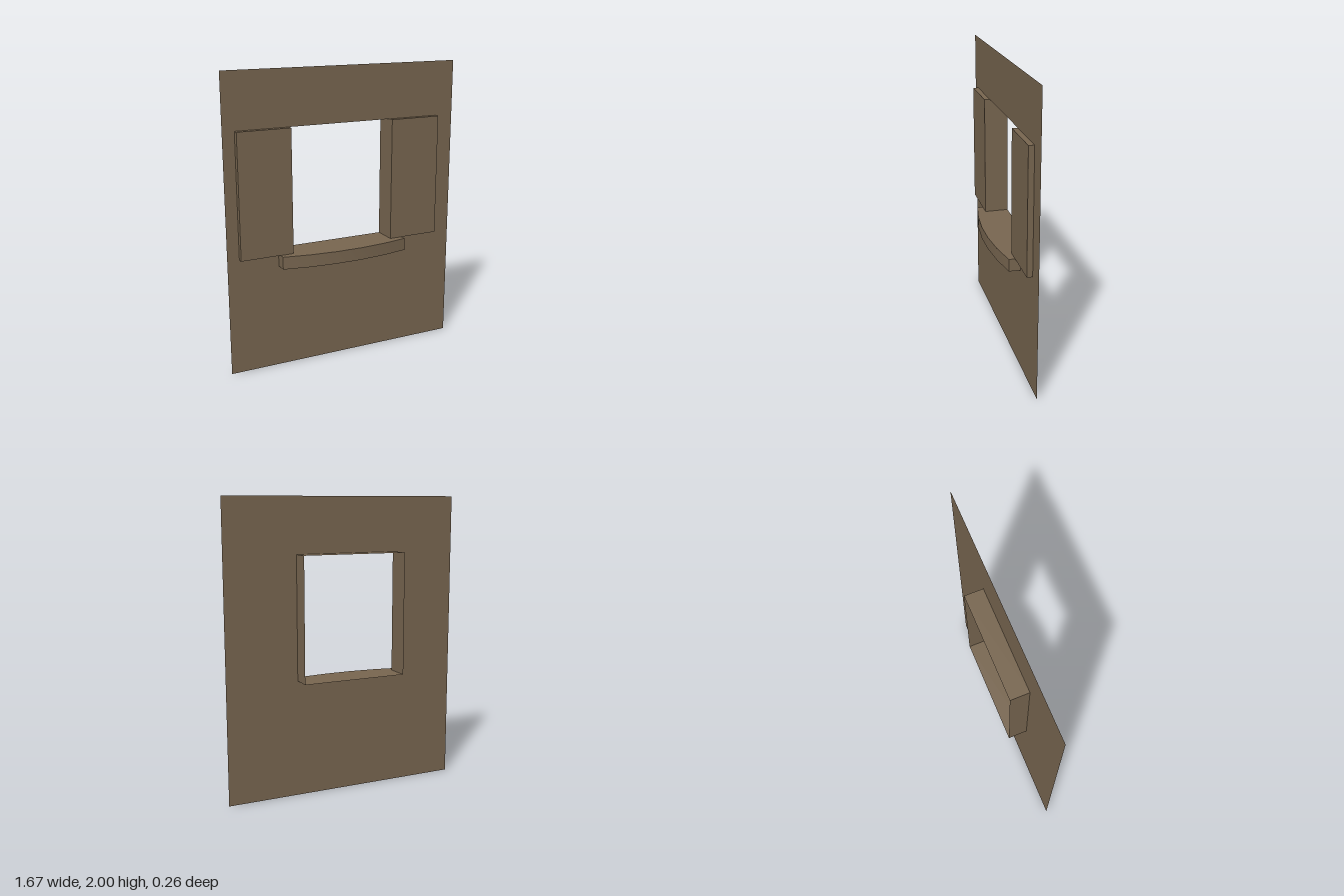
import * as THREE from 'three';
import { toCreasedNormals } from 'three/addons/utils/BufferGeometryUtils.js';

export function createModel() {
  const model = new THREE.Group();
  model.name = 'windowWall';
  const material = new THREE.MeshStandardMaterial({ color: 0x786650, side: THREE.DoubleSide });

  // Window opening, slightly off centre in the wall
  const left = -0.39, right = 0.34, bottom = 0.793, top = 1.628;
  const midX = (left + right) / 2, midY = (bottom + top) / 2;
  const width = right - left, height = top - bottom;
  const depth = 0.128, panelDepth = 0.037;

  function add(name, geometry, x = 0, y = 0, z = 0) {
    const mesh = new THREE.Mesh(geometry, material);
    mesh.name = name;
    mesh.position.set(x, y, z);
    model.add(mesh);
    return mesh;
  }

  // Thin wall sheet with the opening cut out
  const wall = new THREE.Shape([[-0.834, 0], [0.834, 0], [0.834, 2], [-0.834, 2]]
    .map(([x, y]) => new THREE.Vector2(x, y)));
  wall.holes.push(new THREE.Path([[left, bottom], [left, top], [right, top], [right, bottom]]
    .map(([x, y]) => new THREE.Vector2(x, y))));
  add('wall', new THREE.ShapeGeometry(wall));

  // Thin reveal around the opening, projecting from the back
  for (const [name, y] of [['revealBottom', bottom], ['revealTop', top]]) {
    add(name, new THREE.PlaneGeometry(width, depth), midX, y, -depth / 2).rotation.x = -Math.PI / 2;
  }
  for (const [name, x] of [['revealRight', left], ['revealLeft', right]]) {
    add(name, new THREE.PlaneGeometry(depth, height), x, midY, -depth / 2).rotation.y = Math.PI / 2;
  }

  // Open shutters on either side of the opening
  const shutterWidth = 0.363;
  for (const [name, side] of [['rightShutter', -1], ['leftShutter', 1]]) {
    add(name, new THREE.BoxGeometry(shutterWidth, height, panelDepth),
      midX + side * (width + shutterWidth) / 2, midY, panelDepth / 2);
  }

  // Bowed sill: plan outline extruded upwards
  const half = 0.457, sillHeight = 0.085, edge = 0.077, bow = 0.051;
  const outline = [new THREE.Vector2(half, 0), new THREE.Vector2(-half, 0)];
  const segments = 5;
  for (let i = 0; i <= segments; i++) {
    const t = (i / segments) * 2 - 1;
    // flat middle segment sits at the full depth
    outline.push(new THREE.Vector2(t * half, -(edge + bow * (1 - t * t) / 0.96)));
  }
  const sill = new THREE.ExtrudeGeometry(new THREE.Shape(outline), { depth: sillHeight, bevelEnabled: false });
  sill.rotateX(-Math.PI / 2);
  add('sill', toCreasedNormals(sill, Math.PI / 6), midX, bottom - sillHeight, 0);

  return model;
}
